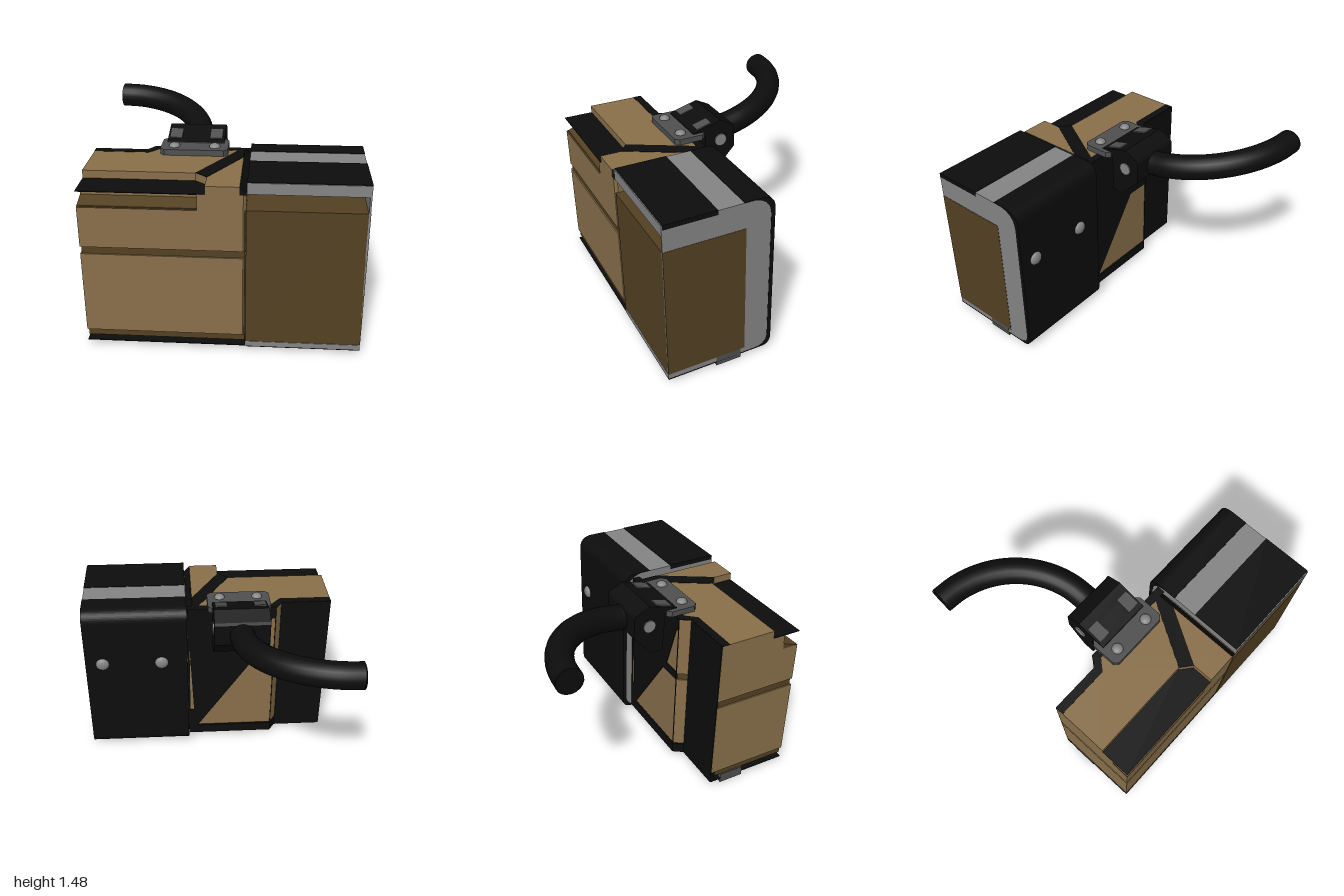
import * as THREE from 'three';

const mat = (name, color, side = THREE.FrontSide) => {
  const m = new THREE.MeshStandardMaterial({ color, side });
  m.name = name;
  return m;
};

export function createModel() {
  const root = new THREE.Group();
  root.name = 'casingWithCable';
  const tan = mat('tan', 0x8a704b);
  const brown = mat('darkBrown', 0x544123);
  const grey = mat('grey', 0x858585);
  const darkGrey = mat('darkGrey', 0x505050);
  const black = mat('black', 0x0d0d0d, THREE.DoubleSide);

  const add = (name, geo, material, parent = root) => {
    const m = new THREE.Mesh(geo, material);
    m.name = name;
    parent.add(m);
    return m;
  };
  // Box given by its limits on each axis
  const box = (name, [x0, x1], [y0, y1], [z0, z1], material) => {
    const g = new THREE.BoxGeometry(x1 - x0, y1 - y0, z1 - z0);
    g.translate((x0 + x1) / 2, (y0 + y1) / 2, (z0 + z1) / 2);
    return add(name, g, material);
  };
  const opts = (depth) => ({ depth, bevelEnabled: false, curveSegments: 12 });
  // Plan outline of [x, z] points raised from y0 to y1
  const plan = (name, pts, y0, y1, material) => {
    const s = new THREE.Shape(pts.map(([x, z]) => new THREE.Vector2(x, -z)));
    const g = new THREE.ExtrudeGeometry(s, opts(y1 - y0));
    g.rotateX(-Math.PI / 2).translate(0, y0, 0);
    return add(name, g, material);
  };
  // Side shape drawn in (-z, y), swept from x0 to x1
  const sweep = (name, shape, x0, x1, material) => {
    const g = new THREE.ExtrudeGeometry(shape, opts(x1 - x0));
    g.rotateY(Math.PI / 2).translate(x0, 0, 0);
    return add(name, g, material);
  };

  // ---- Left body: stacked blocks with grooves between them ----
  const back = [[-1, 0.29], [-0.6, 0.29], [-0.55, 0.215], [0.165, 0.215]];
  const inset = [[-0.99, 0.3], [-0.595, 0.3], [-0.545, 0.225], [0.16, 0.225]];
  plan('bodyCore', [...inset, [0.16, 0.95], [-0.99, 0.95]], 0.08, 1.13, brown);
  const front = [[0.165, 0.94], [0.145, 0.96], [-1, 0.96]];
  plan('lowerPanel', [...back, ...front], 0.13, 0.76, tan);
  plan('middlePanel', [...back, ...front], 0.815, 1.12, tan);
  plan('upperBlock', [...back, ...front.slice(0, 2), [-0.17, 0.96], [-0.17, 0.83], [-1, 0.83]],
    1.12, 1.24, tan);
  plan('raisedTop', [...back.slice(0, 3), [0.12, 0.215], [0.12, 0.96], [-0.115, 0.96],
    [-0.115, 0.8], [-0.2, 0.73], [-1, 0.73]], 1.24, 1.3, tan);

  // Sloped ledge inside the front slot
  const ledge = new THREE.Shape([[-0.96, 1.12], [-0.82, 1.12], [-0.82, 1.165]]
    .map(([a, b]) => new THREE.Vector2(a, b)));
  sweep('slotLedge', ledge, -1, -0.17, brown);

  // Thin black cover over the slot, and the trim on the top
  plan('slotCover', [[-1, 0.73], [-0.2, 0.73], [-0.115, 0.8], [-0.115, 0.96], [-1, 0.96]],
    1.236, 1.242, black);
  plan('diagonalTrim', [[-0.2, 0.73], [-0.115, 0.8], [0.12, 0.4], [0.12, 0.22], [0.07, 0.27]],
    1.298, 1.303, black);
  plan('rearTopTrim', [[-1, 0.288], [-0.605, 0.288], [-0.555, 0.212], [0.165, 0.212],
    [0.165, 0.27], [-0.52, 0.27], [-0.59, 0.35], [-1, 0.35]], 1.297, 1.302, black);
  const seam = new THREE.Shape([[0.12, 1.24], [0.12, 1.3], [0.165, 1.25], [0.165, 1.24]]
    .map(([a, b]) => new THREE.Vector2(a, b)));
  add('seamChamfer', new THREE.ExtrudeGeometry(seam, opts(0.742)).translate(0, 0, 0.215), black);

  // Black rear cladding with cut-outs showing the tan panels
  box('rearSidePanel', [-1, -0.6], [0.04, 1.3], [0.283, 0.289], black);
  const clad = new THREE.Shape([[-0.55, 0.04], [0.165, 0.04], [0.165, 1.3], [-0.55, 1.3]]
    .map(([a, b]) => new THREE.Vector2(a, b)));
  [[[-0.545, 0.12], [0.09, 0.12], [-0.35, 0.76], [-0.545, 0.76]],
    [[-0.545, 0.83], [-0.4, 0.83], [-0.52, 1.2], [-0.545, 1.2]],
    [[0.12, 0.3], [0.15, 0.3], [0.15, 0.95]]].forEach((h) =>
    clad.holes.push(new THREE.Path(h.map(([a, b]) => new THREE.Vector2(a, b)))));
  add('rearCladding', new THREE.ExtrudeGeometry(clad, opts(0.005)).translate(0, 0, 0.209), black);

  // Bottom sheet and the rail below
  plan('bottomSheet', [...back, [0.165, 0.96], [-1, 0.96]], 0.036, 0.042, black);
  plan('bottomRearEdge', [[-1, 0.284], [-0.6, 0.284], [-0.55, 0.21], [0.165, 0.21],
    [0.165, 0.32], [-1, 0.32]], 0.04, 0.12, black);
  box('bottomRail', [-1, 1], [0, 0.08], [0.38, 0.58], darkGrey);

  // ---- Right shell ----
  const outline = (s) => {
    s.moveTo(-0.96, 1.332);
    s.lineTo(-0.29, 1.332);
    s.quadraticCurveTo(-0.16, 1.31, -0.16, 1.18);
    s.lineTo(-0.16, 0.13);
    s.quadraticCurveTo(-0.17, 0.04, -0.25, 0.036);
    s.lineTo(-0.96, 0.036);
    return s;
  };
  const cap = outline(new THREE.Shape());
  const liner = outline(new THREE.Shape());
  liner.lineTo(-0.96, 0.075);
  liner.lineTo(-0.3, 0.075);
  liner.lineTo(-0.24, 0.13);
  liner.lineTo(-0.24, 1.12);
  liner.quadraticCurveTo(-0.24, 1.25, -0.37, 1.25);
  liner.lineTo(-0.96, 1.25);
  sweep('shellLiner', liner, 0.17, 0.99, grey);
  sweep('shellEnd', cap, 0.985, 0.998, grey);
  box('shellCore', [0.165, 1], [0.078, 1.13], [0.35, 0.96], brown);
  box('shellTopPlate', [0.17, 1], [1.3, 1.336], [0.56, 0.953], black);

  // Black wrap around the top rear edge, back and bottom
  const wrap = new THREE.Shape();
  wrap.moveTo(-0.365, 1.336);
  wrap.lineTo(-0.23, 1.336);
  wrap.quadraticCurveTo(-0.13, 1.33, -0.13, 1.23);
  wrap.lineTo(-0.13, 0.1);
  wrap.quadraticCurveTo(-0.135, 0.035, -0.2, 0.03);
  wrap.lineTo(-0.96, 0.03);
  wrap.lineTo(-0.96, 0.036);
  wrap.lineTo(-0.25, 0.036);
  wrap.quadraticCurveTo(-0.17, 0.04, -0.16, 0.13);
  wrap.lineTo(-0.16, 1.18);
  wrap.quadraticCurveTo(-0.16, 1.31, -0.29, 1.331);
  wrap.lineTo(-0.365, 1.331);
  sweep('shellWrap', wrap, 0.168, 1, black);

  // Domed screws on the back of the shell
  const dome = new THREE.SphereGeometry(1, 16, 8, 0, Math.PI * 2, 0, Math.PI / 2);
  for (const x of [0.38, 0.86]) {
    const s = add('rearScrew', dome, grey);
    s.scale.set(0.055, 0.032, 0.055);
    s.rotation.x = -Math.PI / 2;
    s.position.set(x, 0.86, 0.131);
  }

  // ---- Cable hinge ----
  plan('hingePlate', [[-0.5, 0.18], [-0.47, 0.15], [-0.03, 0.15], [0, 0.18], [0, 0.37],
    [-0.03, 0.4], [-0.47, 0.4], [-0.5, 0.37]], 1.3, 1.345, darkGrey);
  for (const x of [-0.4, -0.1]) {
    const s = add('plateScrew', dome, grey);
    s.scale.set(0.042, 0.03, 0.042);
    s.position.set(x, 1.344, 0.32);
  }
  const block = new THREE.Shape([[-0.25, 1.33], [-0.24, 1.35], [-0.1, 1.39], [-0.01, 1.415],
    [0.1, 1.36], [0.112, 1.34], [0.112, 1.17], [-0.04, 1.01], [-0.13, 1.01], [-0.14, 1.3]]
    .map(([a, b]) => new THREE.Vector2(a, b)));
  sweep('hingeBlock', block, -0.465, -0.035, black);
  for (const x of [-0.405, -0.1]) {
    const t = add('hingeTab', new THREE.BoxGeometry(0.095, 0.01, 0.125), darkGrey);
    t.position.set(x, 1.383, 0.14);
    t.rotation.x = 0.28;
  }
  for (const x of [-0.468, -0.032]) {
    const p = add('hingePin', new THREE.CylinderGeometry(0.05, 0.05, 0.012, 12), grey);
    p.rotation.z = Math.PI / 2;
    p.position.set(x, 1.25, 0.01);
  }

  // Cable sweeping back and to the side, slowly rising
  const pts = [new THREE.Vector3(-0.25, 1.25, -0.05)];
  for (let i = 0; i <= 8; i++) {
    const a = (i / 8) * Math.PI / 2;
    const z = -0.14 - 0.72 * Math.sin(a);
    pts.push(new THREE.Vector3(-1 + 0.75 * Math.cos(a), 1.25 - (z + 0.12) * 0.18, z));
  }
  add('cable', new THREE.TubeGeometry(new THREE.CatmullRomCurve3(pts), 48, 0.098, 20), black);
  const end = add('cableEnd', new THREE.CircleGeometry(0.098, 20), black);
  end.position.copy(pts[pts.length - 1]);
  end.rotation.y = -Math.PI / 2;

  return root;
}
